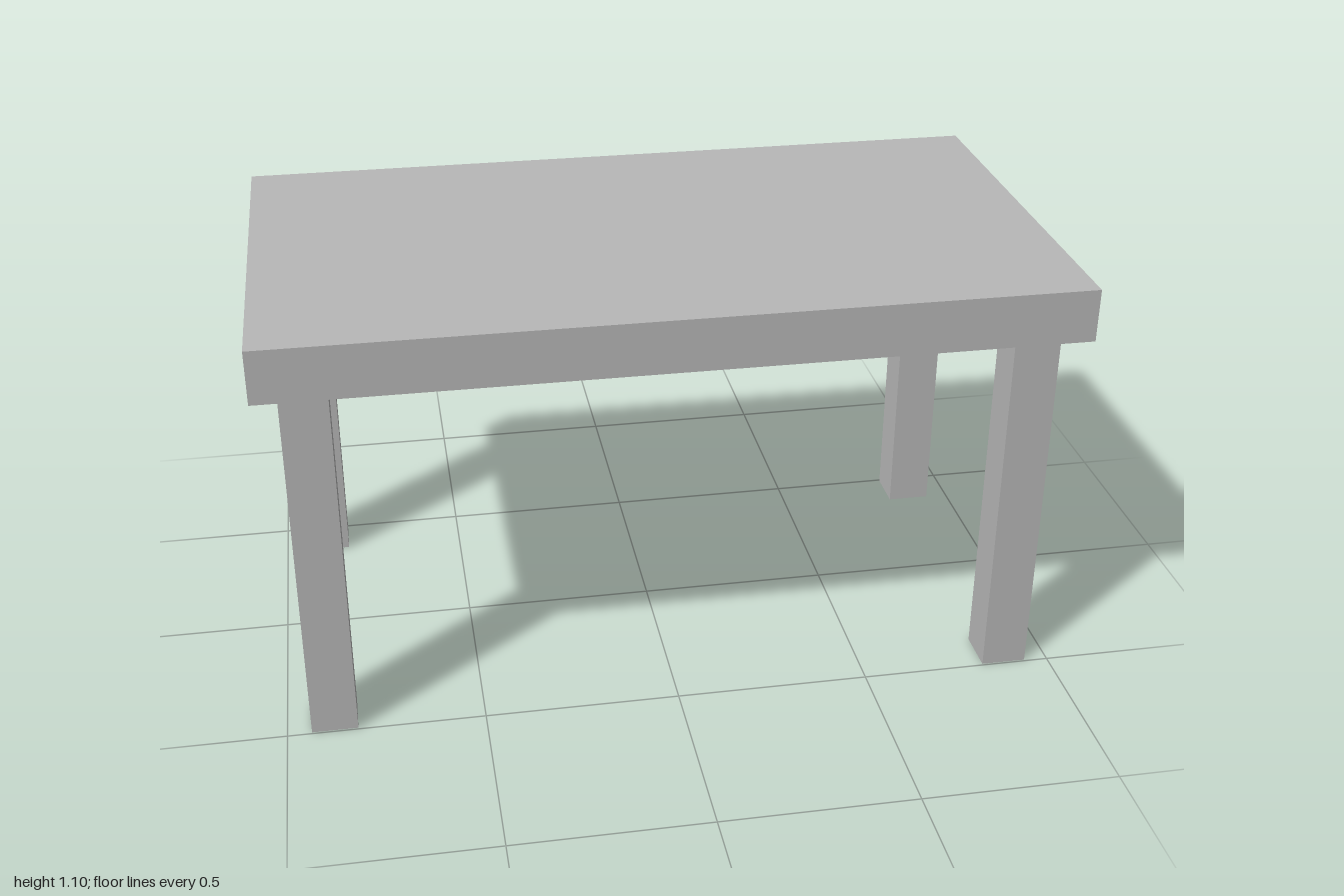
import * as THREE from 'three';

const HEIGHT = 1.1, TOP_THICKNESS = 0.135, LEG_WIDTH = 0.116;

export function createModel() {
  const table = new THREE.Group();
  table.name = 'table';

  const grey = new THREE.MeshStandardMaterial({ color: 0xb8b8b8 });
  grey.name = 'grey';

  // Thick rectangular slab
  const tabletop = new THREE.Mesh(new THREE.BoxGeometry(2, TOP_THICKNESS, 1.11), grey);
  tabletop.name = 'tabletop';
  tabletop.position.y = HEIGHT - TOP_THICKNESS / 2;
  table.add(tabletop);

  // Four square legs, set in slightly from the corners
  const legHeight = HEIGHT - TOP_THICKNESS;
  const legGeometry = new THREE.BoxGeometry(LEG_WIDTH, legHeight, LEG_WIDTH);
  for (const x of [-1, 1]) {
    for (const z of [-1, 1]) {
      const leg = new THREE.Mesh(legGeometry, grey);
      leg.name = (z > 0 ? 'front' : 'back') + (x > 0 ? 'Left' : 'Right') + 'Leg';
      leg.position.set(x * 0.881, legHeight / 2, z * 0.437);
      table.add(leg);
    }
  }
  return table;
}
